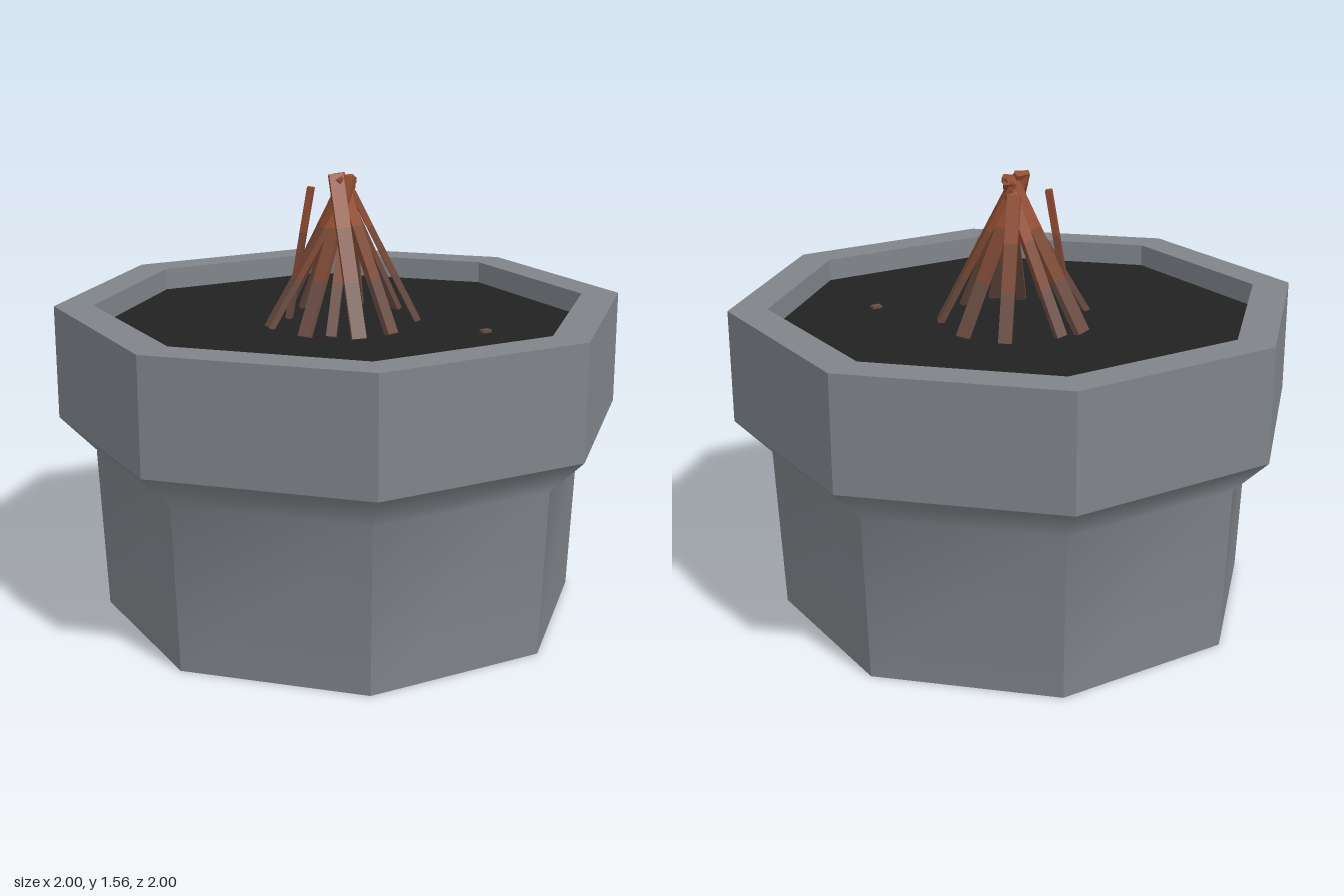
import * as THREE from 'three';
import { mergeGeometries } from 'three/addons/utils/BufferGeometryUtils.js';

const mat = (name, color) => {
  const m = new THREE.MeshStandardMaterial({ color });
  m.name = name;
  return m;
};

// Octagonal wall: each side is its own strip, sharp at the corners, smooth up the profile
function octagonWall(profile) {
  const sides = [];
  for (let i = 0; i < 8; i++) {
    const pos = [], index = [];
    const a = (i * Math.PI) / 4, b = a + Math.PI / 4;
    profile.forEach(([r, y], k) => {
      pos.push(r * Math.sin(a), y, r * Math.cos(a), r * Math.sin(b), y, r * Math.cos(b));
      const n = 2 * k;
      if (k) index.push(n - 2, n - 1, n + 1, n - 2, n + 1, n);
    });
    const g = new THREE.BufferGeometry();
    g.setAttribute('position', new THREE.Float32BufferAttribute(pos, 3));
    g.setIndex(index);
    g.computeVertexNormals();
    sides.push(g);
  }
  return mergeGeometries(sides);
}

export function createModel() {
  const root = new THREE.Group();
  root.name = 'firePit';
  const stone = mat('grey stone', 0x80848a);
  const ash = mat('dark ash', 0x222222);
  const woods = [mat('ashy wood', 0x6a4c42), mat('brown wood', 0x7c4835), mat('orange wood', 0x914c31)];

  const add = (name, geometry, material, parent = root) => {
    const mesh = new THREE.Mesh(geometry, material);
    mesh.name = name;
    parent.add(mesh);
    return mesh;
  };
  const disc = (r, y, down) =>
    new THREE.CircleGeometry(r, 8).rotateX(down ? Math.PI / 2 : -Math.PI / 2).translate(0, y, 0);

  // Stone bowl
  add('lowerBody', octagonWall([[0.85, 0], [0.875, 0.585], [1, 0.71]]), stone);
  add('rimOuter', octagonWall([[1, 0.71], [1, 1.11]]), stone);
  add('rimTop', octagonWall([[1, 1.11], [0.865, 1.11]]), stone);
  add('rimInner', octagonWall([[0.865, 1.11], [0.865, 1.03]]), stone);
  add('underside', disc(0.85, 0, true), stone);
  add('ashBed', disc(0.865, 1.03, false), ash);

  // Leaning sticks: foot x, foot z, top x, top y, top z, width
  const sticks = [
    [-0.19, -0.21, 0.03, 1.54, -0.03, 0.06],
    [-0.11, -0.24, 0.04, 1.5, -0.1, 0.04],
    [0.09, -0.28, 0.03, 1.5, -0.12, 0.045],
    [0.22, -0.19, -0.02, 1.54, 0.01, 0.045],
    [0.27, 0.01, 0.02, 1.53, -0.05, 0.04],
    [0.15, 0.21, -0.01, 1.55, -0.02, 0.045],
    [0.03, 0.27, -0.02, 1.55, 0.0, 0.05],
    [-0.06, 0.23, 0.04, 1.53, -0.06, 0.035],
    [-0.15, 0.22, 0.03, 1.54, -0.01, 0.045],
    [-0.26, 0.07, 0.04, 1.53, -0.03, 0.05],
    [-0.18, -0.07, -0.1, 1.5, -0.06, 0.025],
  ];
  const pile = new THREE.Group();
  pile.name = 'stickPile';
  root.add(pile);
  for (const [fx, fz, tx, ty, tz, w] of sticks) {
    const foot = new THREE.Vector3(fx, 1.03, fz);
    const dir = new THREE.Vector3(tx, ty, tz).sub(foot);
    const len = dir.length();
    const up = dir.normalize();
    // Broad side faces outwards
    const side = new THREE.Vector3().crossVectors(up, new THREE.Vector3(fx, 0, fz)).normalize();
    const out = new THREE.Vector3().crossVectors(side, up);
    const stick = new THREE.Group();
    stick.name = 'stick';
    stick.position.copy(foot);
    stick.quaternion.setFromRotationMatrix(new THREE.Matrix4().makeBasis(side, up, out));
    // Ashy foot, brown middle, orange tip
    woods.forEach((wood, i) => {
      const part = add(['stickFoot', 'stickMiddle', 'stickTip'][i], new THREE.BoxGeometry(w, len / 3, 0.022), wood, stick);
      part.position.y = (i + 0.5) * (len / 3);
    });
    pile.add(stick);
  }

  // Stray chip lying in the ash
  const chip = add('woodChip', new THREE.BoxGeometry(0.035, 0.02, 0.025), woods[0]);
  chip.position.set(0.475, 1.03, 0.215);
  chip.rotation.y = 0.4;
  return root;
}
